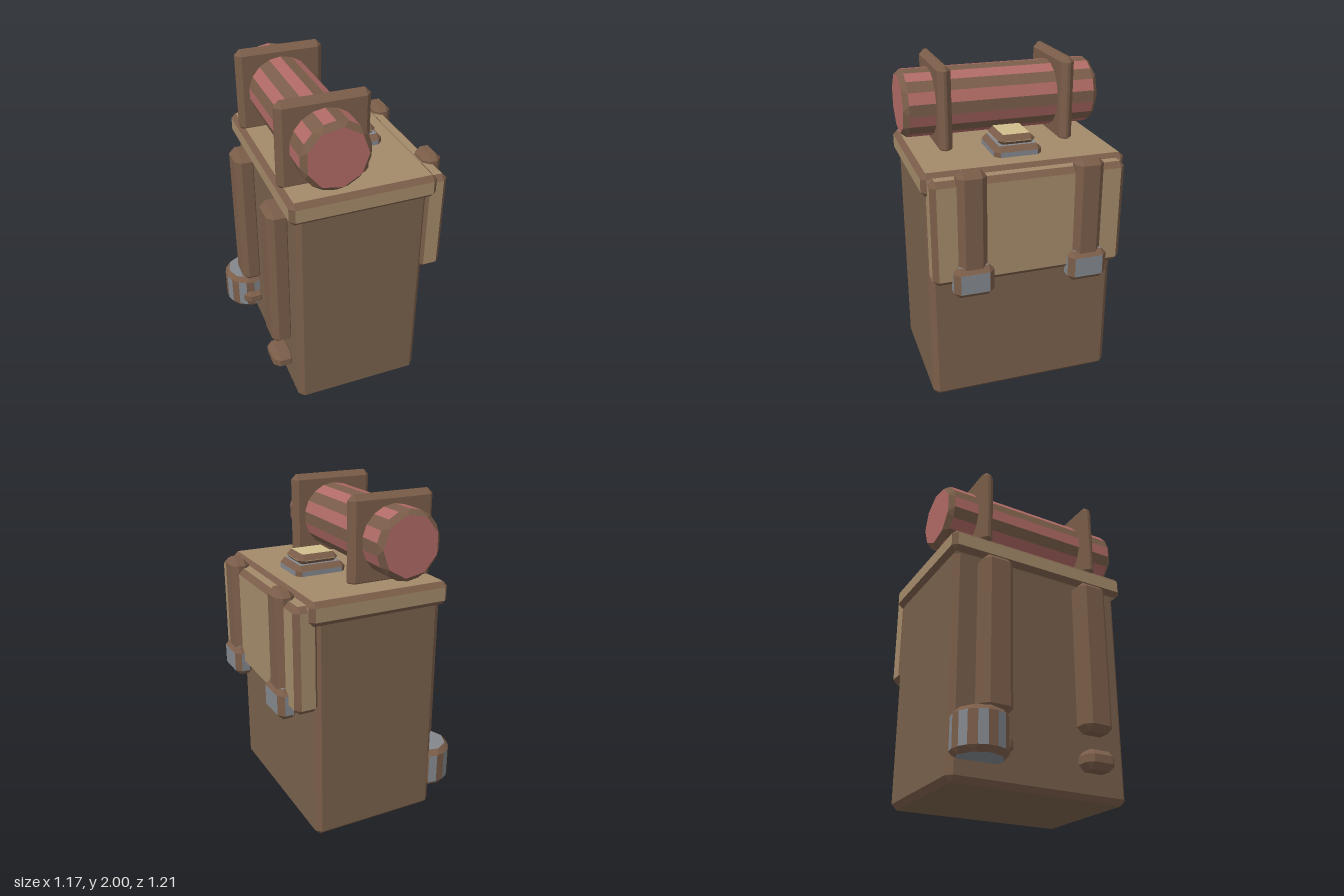
import * as THREE from 'three';

const mat = (color) => new THREE.MeshStandardMaterial({ color, flatShading: true });
const TRIM = mat(0x7a5d49), BROWN = mat(0x78604b), TAN = mat(0xa38a69);
const PINK = mat(0xb06a65), METAL = mat(0x83878d), GOLD = mat(0xcfbe8d);

// Adds a convex polygon to a triangle list, facing away from the origin
function addFace(list, pts) {
  const centre = pts.reduce((s, p) => s.add(p), new THREE.Vector3());
  const normal = pts[1].clone().sub(pts[0]).cross(pts[2].clone().sub(pts[0]));
  const p = normal.dot(centre) < 0 ? [...pts].reverse() : pts;
  for (let i = 1; i < p.length - 1; i++) {
    for (const v of [p[0], p[i], p[i + 1]]) list.push(v.x, v.y, v.z);
  }
}

// A named part: panel faces in one colour, chamfers in the trim colour
function makePart(name, panels, chamfers, panelMat) {
  const part = new THREE.Group();
  part.name = name;
  for (const [label, list, material] of [['Panels', panels, panelMat], ['Edging', chamfers, TRIM]]) {
    const geo = new THREE.BufferGeometry();
    geo.setAttribute('position', new THREE.Float32BufferAttribute(list, 3));
    geo.computeVertexNormals();
    const mesh = new THREE.Mesh(geo, material);
    mesh.name = name + label;
    part.add(mesh);
  }
  return part;
}

// Chamfered box given by its x, y and z ranges
function bevelBox(name, x, y, z, bevel, material) {
  const ranges = [x, y, z];
  const half = ranges.map(([a, b]) => (b - a) / 2);
  const panels = [], chamfers = [];
  // Point of a corner that lies on the face of the given axis
  const point = (axis, signs) => new THREE.Vector3(
    ...signs.map((s, i) => s * (half[i] - (i === axis ? 0 : bevel))));
  for (let a = 0; a < 3; a++) {
    const b = (a + 1) % 3, c = (a + 2) % 3;
    const signs = (sa, sb, sc) => { const r = []; r[a] = sa; r[b] = sb; r[c] = sc; return r; };
    for (const s of [-1, 1]) {
      addFace(panels, [[-1, -1], [1, -1], [1, 1], [-1, 1]].map(([u, v]) => point(a, signs(s, u, v))));
      for (const t of [-1, 1]) {
        addFace(chamfers, [point(a, signs(s, t, -1)), point(a, signs(s, t, 1)),
          point(b, signs(s, t, 1)), point(b, signs(s, t, -1))]);
        if (a === 0) {
          for (const u of [-1, 1]) addFace(chamfers, [0, 1, 2].map((k) => point(k, [s, t, u])));
        }
      }
    }
  }
  const part = makePart(name, panels, chamfers, material);
  part.position.set(...ranges.map(([p, q]) => (p + q) / 2));
  return part;
}

// Nine-sided prism along z with chamfered corners and rims
function bevelPrism(name, radius, capRadius, length, bevel, start, material) {
  const n = 9, step = (Math.PI * 2) / n, h = length / 2;
  const at = (r, a, z) => new THREE.Vector3(r * Math.cos(a), r * Math.sin(a), z);
  const panels = [], chamfers = [];
  for (const s of [-1, 1]) {
    addFace(panels, Array.from({ length: n }, (_, i) => at(capRadius, start + i * step, s * h)));
  }
  for (let i = 0; i < n; i++) {
    const a = start + i * step, q = step / 4, z = h - bevel;
    const strip = (a0, a1) => [at(radius, a0, -z), at(radius, a1, -z), at(radius, a1, z), at(radius, a0, z)];
    addFace(chamfers, strip(a - q, a + q));
    addFace(panels, strip(a + q, a + 3 * q));
    for (const s of [-1, 1]) {
      addFace(chamfers, [at(radius, a - q, s * z), at(radius, a + q, s * z), at(capRadius, a, s * h)]);
      addFace(chamfers, [at(radius, a + q, s * z), at(radius, a + 3 * q, s * z),
        at(capRadius, a + step, s * h), at(capRadius, a, s * h)]);
    }
  }
  return makePart(name, panels, chamfers, material);
}

export function createModel() {
  const model = new THREE.Group();
  model.name = 'backpack';
  const box = (...args) => model.add(bevelBox(...args));

  // Main bag, lid and hanging flap
  box('bagBody', [-0.39, 0.41], [0, 1.4], [-0.575, 0.575], 0.033, BROWN);
  box('lid', [-0.43, 0.45], [1.36, 1.5], [-0.605, 0.605], 0.03, TAN);
  box('flap', [0.38, 0.53], [0.84, 1.475], [-0.575, 0.575], 0.032, TAN);

  // Clasp on the lid
  box('claspBase', [-0.005, 0.315], [1.46, 1.56], [-0.143, 0.143], 0.03, METAL);
  box('claspTop', [0.027, 0.285], [1.55, 1.615], [-0.113, 0.113], 0.031, GOLD);

  for (const s of [-1, 1]) {
    const side = s > 0 ? 'Left' : 'Right';
    const span = (centre, width) => [s * centre - width / 2, s * centre + width / 2];
    // Flap straps and buckles
    box('flapStrap' + side, [0.45, 0.565], [0.79, 1.525], span(0.345, 0.17), 0.035, TRIM);
    box('buckle' + side, [0.465, 0.585], [0.77, 0.96], span(0.346, 0.24), 0.034, METAL);
    // Shoulder straps and their lower anchors
    box('shoulderStrap' + side, [-0.505, -0.36], [0.38, 1.355], span(0.332, 0.197), 0.037, TRIM);
    box('strapAnchor' + side, [-0.505, -0.36], [0.155, 0.275], span(0.332, 0.197), 0.037, TRIM);
    // Plates holding the bedroll
    box('rollHolder' + side, [-0.43, 0.113], [1.475, 2], span(0.375, 0.08), 0.032, TRIM);
  }

  // Bedroll
  const roll = bevelPrism('bedroll', 0.204, 0.179, 1.21, 0.032, 0, PINK);
  roll.position.set(-0.16, 1.735, 0);
  model.add(roll);

  // Upright flask at the back corner
  const flask = bevelPrism('flask', 0.16, 0.136, 0.255, 0.032, Math.PI, METAL);
  flask.rotation.x = -Math.PI / 2;
  flask.position.set(-0.432, 0.248, -0.418);
  model.add(flask);

  return model;
}
